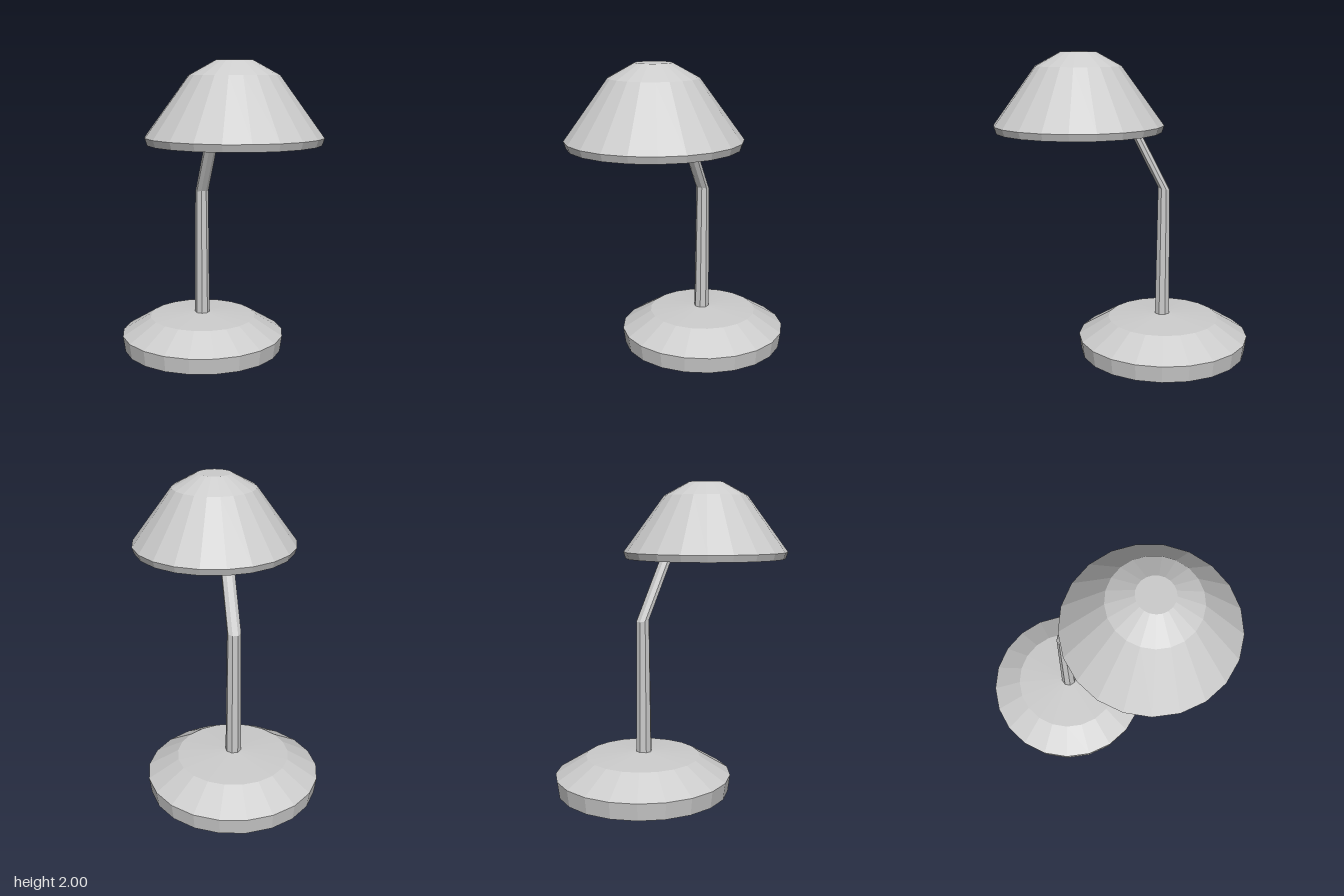
import * as THREE from 'three';

const V = (x, y) => new THREE.Vector2(x, y);

// Split faces and give each its own normal for the faceted look
function faceted(geometry) {
  const g = geometry.toNonIndexed();
  g.computeVertexNormals();
  return g;
}

// Turned part: [radius, height] pairs from bottom to top, one corner on +x
function turned(profile, sides) {
  return faceted(new THREE.LatheGeometry(profile.map(([r, y]) => V(r, y)), sides, Math.PI / 2));
}

// Octagonal post whose rings follow { y, z, rx, rz, tilt }, from top to bottom
function bentPost(rings, x) {
  const g = new THREE.CylinderGeometry(1, 1, 1, 8, rings.length - 1, false, Math.PI / 8);
  const p = g.attributes.position;
  for (let i = 0; i < p.count; i++) {
    const ring = rings[Math.round((0.5 - p.getY(i)) * (rings.length - 1))];
    const dz = p.getZ(i) * ring.rz;
    p.setXYZ(i, x + p.getX(i) * ring.rx, ring.y + dz * ring.tilt, ring.z + dz);
  }
  return faceted(g);
}

export function createModel() {
  const lamp = new THREE.Group();
  lamp.name = 'deskLamp';

  const grey = new THREE.MeshStandardMaterial({ color: 0xcccccc });
  grey.name = 'lightGrey';
  grey.side = THREE.DoubleSide;

  function add(name, geometry, z = 0) {
    const mesh = new THREE.Mesh(geometry, grey);
    mesh.name = name;
    mesh.position.z = z;
    lamp.add(mesh);
  }

  const baseZ = -0.27, shadeZ = 0.287;

  // Heavy round foot
  add('base', turned([[0, 0], [0.555, 0], [0.57, 0.11], [0.37, 0.232], [0, 0.26]], 21), baseZ);

  // Post, bent forward to meet the socket
  add('stem', bentPost([
    { y: 1.87, z: 0.116, rx: 0.044, rz: 0.034, tilt: 0 },
    { y: 1.117, z: -0.268, rx: 0.046, rz: 0.041, tilt: 0.25 },
    { y: 0.23, z: -0.265, rx: 0.052, rz: 0.052, tilt: 0 },
  ], -0.004));

  // Thin open shade with a turned-in rim
  add('shade', turned([[0.54, 1.49], [0.555, 1.535], [0.28, 1.91], [0.115, 2], [0, 2]], 21), shadeZ);

  // Socket and pointed bulb under the shade
  add('socket', turned([[0, 1.465], [0.15, 1.54], [0.175, 1.9], [0, 1.9]], 11), shadeZ);

  return lamp;
}
